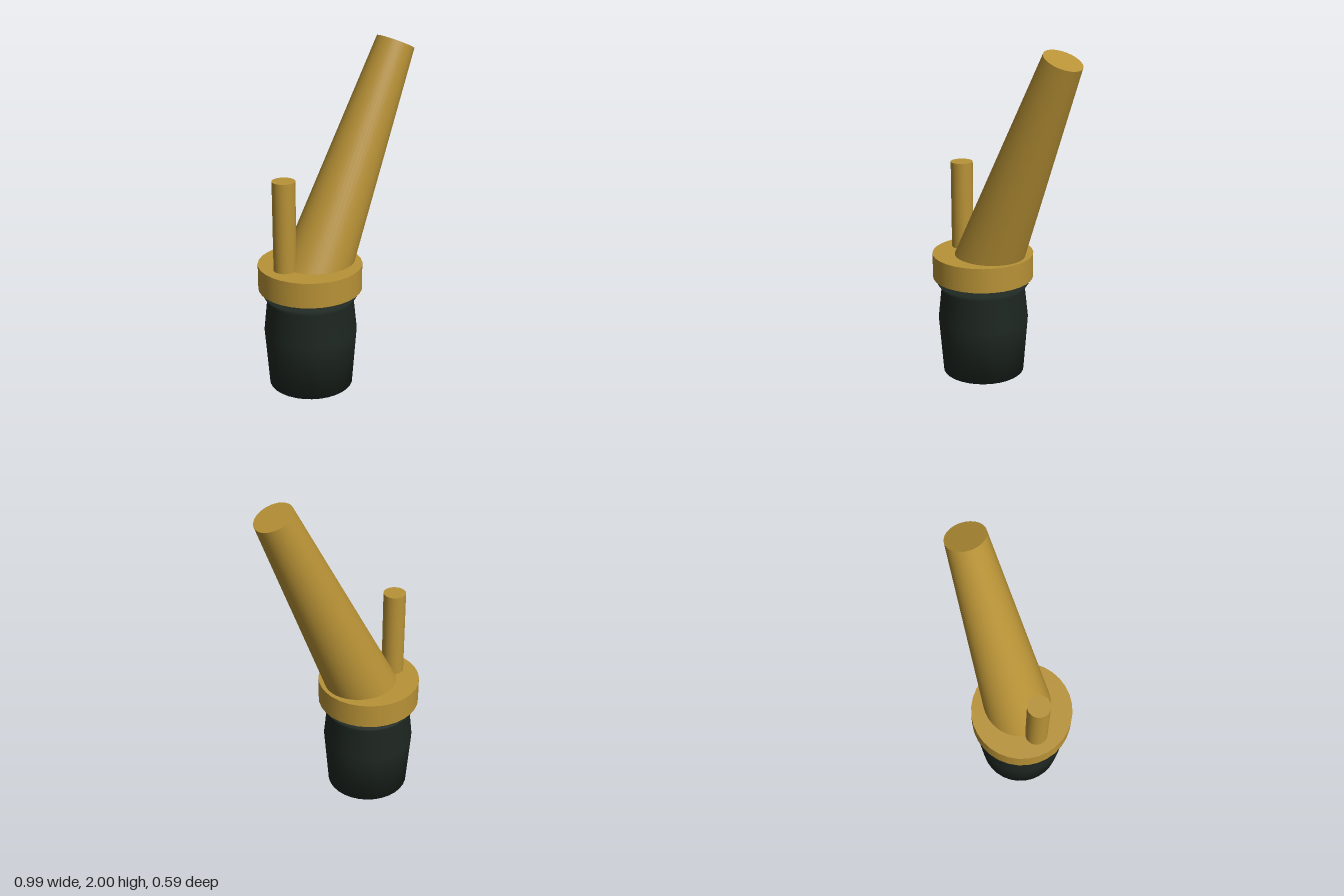
import * as THREE from 'three';

export function createModel() {
  const group = new THREE.Group();
  const brass = new THREE.MeshStandardMaterial({ color: 0xb89236 });
  const dark = new THREE.MeshStandardMaterial({ color: 0x1f2823 });
  const axisX = -0.2;

  const add = (name, geometry, material, x, y) => {
    const mesh = new THREE.Mesh(geometry, material);
    mesh.name = name;
    mesh.position.set(x, y, 0);
    group.add(mesh);
    return mesh;
  };

  // Dark barrel-shaped grip with a flared lip and shallow conical ends
  const profile = [
    [0, 0], [0.24, 0.04], [0.265, 0.37], [0.245, 0.56], [0.27, 0.595], [0, 0.632],
  ].map(([r, y]) => new THREE.Vector2(r, y));
  add('grip', new THREE.LatheGeometry(profile, 32), dark, axisX, 0);

  // Flat collar on top of the grip
  add('collar', new THREE.CylinderGeometry(0.294, 0.294, 0.145, 32), brass, axisX, 0.7025);

  // Slim upright pin at the edge of the collar
  add('pin', new THREE.CylinderGeometry(0.064, 0.064, 0.59, 32), brass, -0.368, 0.995);

  // Tapered spout leaning towards +x, its foot sunk into the collar
  const foot = new THREE.Vector3(-0.172, 0.697, 0);
  const tip = new THREE.Vector3(0.391, 1.955, 0);
  const axis = tip.clone().sub(foot);
  const spout = add('spout', new THREE.CylinderGeometry(0.11, 0.2, axis.length(), 48), brass, 0, 0);
  spout.position.addVectors(foot, tip).multiplyScalar(0.5);
  spout.quaternion.setFromUnitVectors(new THREE.Vector3(0, 1, 0), axis.normalize());

  return group;
}
